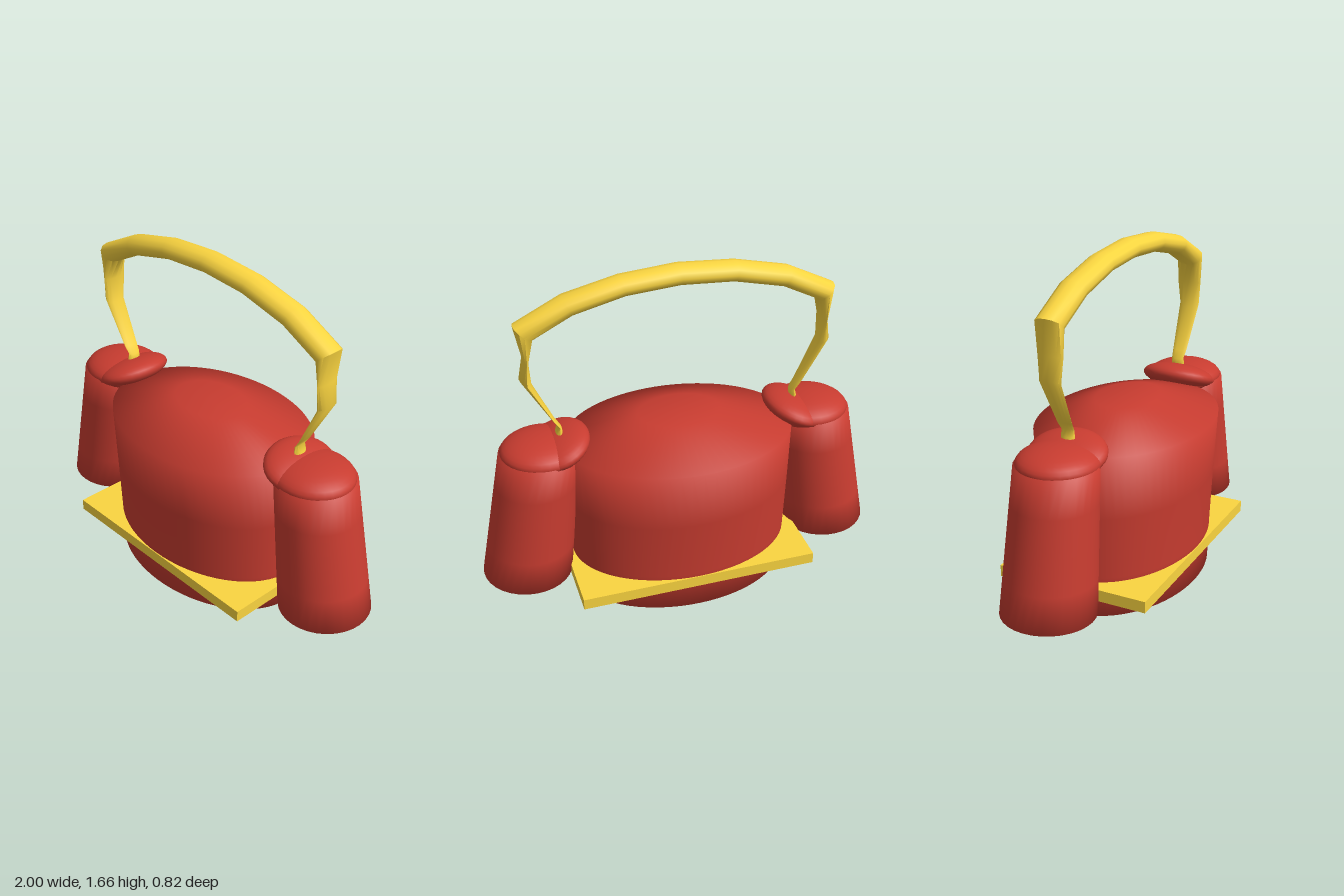
import * as THREE from 'three';
import { toCreasedNormals } from 'three/addons/utils/BufferGeometryUtils.js';

const red = new THREE.MeshStandardMaterial({ color: 0xc83c30 });
const yellow = new THREE.MeshStandardMaterial({ color: 0xfbd540 });
const SOFT = 2; // crease angle that rounds the shading over every rim

function part(name, geometry, material, parent) {
  const mesh = new THREE.Mesh(geometry, material);
  mesh.name = name;
  parent.add(mesh);
  return mesh;
}

// Elliptical tube through stations [outerX, outerY, innerX, innerY, halfDepth]
function loft(stations, sides = 12) {
  const pos = [], index = [], last = stations.length - 1;
  for (const [ox, oy, ix, iy, d] of stations) {
    for (let j = 0; j < sides; j++) {
      const a = (j / sides) * Math.PI * 2, t = (1 + Math.cos(a)) / 2;
      pos.push(ix + (ox - ix) * t, iy + (oy - iy) * t, d * Math.sin(a));
    }
  }
  for (let i = 0; i < last; i++) {
    for (let j = 0; j < sides; j++) {
      const k = (j + 1) % sides, a = i * sides, b = a + sides;
      index.push(a + j, b + j, a + k, a + k, b + j, b + k);
    }
  }
  // End caps
  for (let j = 1; j < sides - 1; j++) {
    const b = last * sides;
    index.push(0, j, j + 1, b, b + j + 1, b + j);
  }
  const g = new THREE.BufferGeometry();
  g.setAttribute('position', new THREE.Float32BufferAttribute(pos, 3));
  g.setIndex(index);
  return toCreasedNormals(g, 0.9);
}

function addSleeve(side, parent) {
  const arm = new THREE.Group();
  arm.name = side > 0 ? 'leftSleeve' : 'rightSleeve';
  parent.add(arm);

  // Flared tube leaning outward, with a slightly tilted hem
  const tube = new THREE.CylinderGeometry(0.19, 0.219, 0.672, 32, 4);
  const p = tube.attributes.position;
  for (let i = 0; i < p.count; i++) {
    const down = 0.5 - p.getY(i) / 0.672;
    const x = p.getX(i);
    p.setX(i, x + side * (0.682 + 0.099 * down));
    p.setY(i, p.getY(i) + 0.474 + side * x * 0.03 * down);
  }
  part('sleeveTube', toCreasedNormals(tube, SOFT), red, arm);

  // Flattened shoulder dome and the tilted pad that joins it to the body
  const dome = part('shoulderDome', new THREE.SphereGeometry(1, 32, 16), red, arm);
  dome.scale.set(0.2, 0.075, 0.188);
  dome.position.set(side * 0.665, 0.813, 0);
  const pad = part('shoulderPad', new THREE.SphereGeometry(1, 32, 16), red, arm);
  pad.scale.set(0.155, 0.065, 0.188);
  pad.position.set(side * 0.588, 0.825, 0);
  pad.rotation.z = side * -0.35;
}

export function createModel() {
  const model = new THREE.Group();
  model.name = 'model';

  // Oval body with sloping shoulders
  const profile = [[0, 0], [0.543, 0], [0.548, 0.2], [0.557, 0.5], [0.562, 0.8], [0.2, 0.905], [0, 0.905]]
    .map(([x, y]) => new THREE.Vector2(x, y));
  const body = new THREE.LatheGeometry(profile, 64);
  const p = body.attributes.position;
  for (let i = 0; i < p.count; i++) {
    const y = Math.min(p.getY(i) / 0.8, 1);
    p.setZ(i, p.getZ(i) * (0.68 + 0.047 * y * y));
  }
  part('body', toCreasedNormals(body, SOFT), red, model);

  // Rectangular belt plate
  part('beltPlate', new THREE.BoxGeometry(1.17, 0.057, 0.756), yellow, model).position.y = 0.15;

  for (const side of [-1, 1]) addSleeve(side, model);

  // Arched handle with thin, pinched legs
  const half = [
    [0.6, 0.87, 0.565, 0.87, 0.035],
    [0.597, 0.9, 0.565, 0.9, 0.035],
    [0.588, 0.935, 0.568, 0.92, 0.032],
    [0.612, 0.97, 0.594, 0.96, 0.037],
    [0.745, 1.2, 0.69, 1.17, 0.052],
    [0.722, 1.3, 0.7, 1.3, 0.062],
    [0.755, 1.47, 0.67, 1.4, 0.067],
    [0.53, 1.582, 0.49, 1.492, 0.068],
    [0.27, 1.642, 0.25, 1.55, 0.068],
  ];
  const mirrored = half.map(([a, b, c, d, e]) => [-a, b, -c, d, e]).reverse();
  part('handle', loft([...half, [0, 1.662, 0, 1.567, 0.068], ...mirrored]), yellow, model);

  return model;
}
